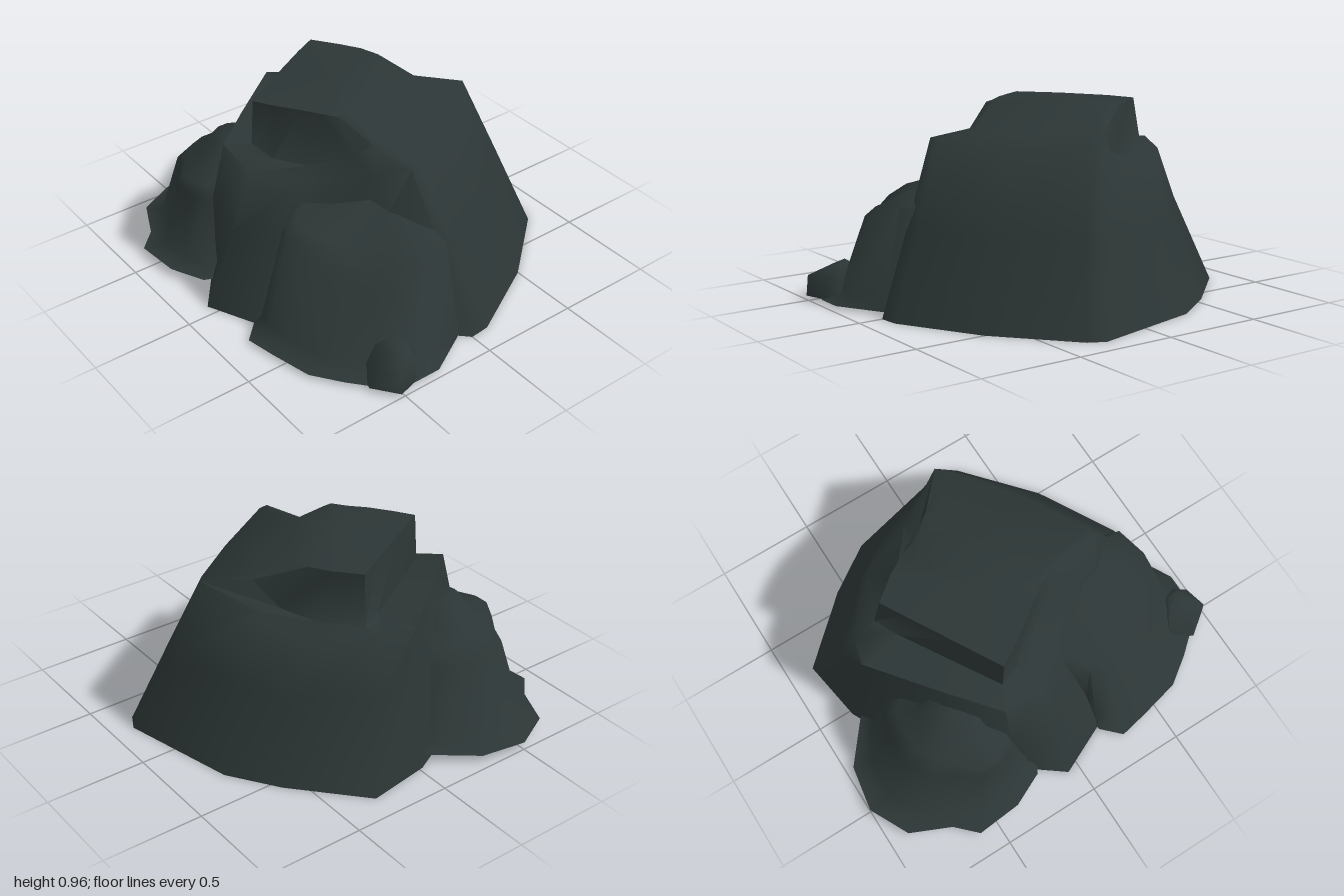
import * as THREE from 'three';
import { toCreasedNormals } from 'three/addons/utils/BufferGeometryUtils.js';

// Open-bottomed shells, so both sides show
const stone = new THREE.MeshStandardMaterial({ color: 0x2c3535, side: THREE.DoubleSide });
stone.name = 'dark stone';

// Skin a stack of rings (front, +x, back, -x order) and fan the last one to a peak.
// An open rock leans against another and has no wall between its last and first column.
function rock(name, rings, peak, open = false) {
  const n = rings[0].length;
  const points = [...rings.flat(), peak];
  const top = points.length - 1;
  const last = (rings.length - 1) * n;
  const index = [];
  for (let i = 0; i < (open ? n - 1 : n); i++) {
    const j = (i + 1) % n;
    for (let a = 0; a < last; a += n) {
      const b = a + n;
      index.push(a + i, a + j, b + j, a + i, b + j, b + i);
    }
    index.push(last + i, last + j, top);
  }
  const geometry = new THREE.BufferGeometry();
  geometry.setAttribute('position', new THREE.Float32BufferAttribute(points.flat(), 3));
  geometry.setIndex(index);
  const mesh = new THREE.Mesh(toCreasedNormals(geometry, 1.3), stone);
  mesh.name = name;
  return mesh;
}

// Place a flat outline of [x, z] pairs at one height.
const level = (y, outline) => outline.map(([x, z]) => [x, y, z]);

export function createModel() {
  const model = new THREE.Group();
  model.name = 'rockOutcrop';

  // Large boulder: foot, waist, shoulder, then the base and rim of the raised cap
  const foot = level(0, [
    [0, 0.88], [0.1, 0.87], [0.5, 0.65], [0.85, 0.35], [0.89, 0.27], [0.75, -0.31], [0.59, -0.55],
    [0.3, -0.87], [-0.02, -0.82], [-0.45, -0.6], [-0.7, -0.27], [-0.86, -0.06], [-0.74, 0.2], [-0.38, 0.5],
  ]);
  const waist = [
    [-0.05, 0.4, 0.71], [0.02, 0.4, 0.7], [0.39, 0.4, 0.5], [0.7, 0.4, 0.24], [0.74, 0.4, 0.18],
    [0.59, 0.4, -0.23], [0.44, 0.38, -0.47], [0.16, 0.42, -0.74], [-0.04, 0.43, -0.74], [-0.42, 0.42, -0.53],
    [-0.66, 0.43, -0.28], [-0.7, 0.38, -0.06], [-0.54, 0.4, 0.15], [-0.29, 0.4, 0.46],
  ];
  const shoulder = [
    [-0.11, 0.8, 0.54], [-0.06, 0.8, 0.53], [0.27, 0.77, 0.35], [0.55, 0.79, 0.13], [0.59, 0.8, 0.08],
    [0.45, 0.71, -0.18], [0.36, 0.64, -0.45], [0.11, 0.67, -0.67], [-0.04, 0.71, -0.71], [-0.36, 0.71, -0.46],
    [-0.59, 0.71, -0.27], [-0.57, 0.64, -0.08], [-0.41, 0.62, 0.09], [-0.21, 0.71, 0.37],
  ];
  const capBase = [
    [-0.14, 0.82, 0.3], [-0.1, 0.82, 0.29], [0.2, 0.81, 0.18], [0.38, 0.82, -0.05], [0.41, 0.82, -0.08],
    [0.34, 0.7, -0.2], [0.25, 0.67, -0.36], [0.12, 0.69, -0.55], [0, 0.69, -0.49], [-0.25, 0.69, -0.34],
    [-0.47, 0.7, -0.21], [-0.42, 0.65, -0.1], [-0.33, 0.65, 0.04], [-0.2, 0.74, 0.22],
  ];
  const capRim = [
    [-0.22, 0.93, 0.15], [-0.17, 0.935, 0.14], [0.08, 0.965, 0.05], [0.25, 0.935, -0.18], [0.28, 0.93, -0.2],
    [0.25, 0.93, -0.3], [0.19, 0.93, -0.4], [0.1, 0.935, -0.515], [-0.02, 0.94, -0.45], [-0.25, 0.94, -0.32],
    [-0.46, 0.935, -0.2], [-0.4, 0.935, -0.1], [-0.33, 0.935, 0], [-0.27, 0.93, 0.08],
  ];
  model.add(rock('mainBoulder', [foot, waist, shoulder, capBase, capRim], [-0.05, 0.955, -0.12]));

  // Low rock leaning on the front left, with a thin skirt
  model.add(rock('frontRock', [
    level(0.015, [
      [-0.64, 0.18], [-0.76, 0.19], [-0.85, 0.28], [-0.82, 0.43], [-0.77, 0.64], [-0.67, 0.78],
      [-0.55, 0.92], [-0.42, 0.97], [-0.28, 0.97], [-0.05, 0.84], [-0.01, 0.78],
    ]),
    level(0.05, [
      [-0.64, 0.18], [-0.72, 0.2], [-0.74, 0.29], [-0.72, 0.42], [-0.68, 0.58], [-0.62, 0.7],
      [-0.5, 0.82], [-0.4, 0.88], [-0.27, 0.89], [-0.05, 0.83], [-0.01, 0.76],
    ]),
    [
      [-0.48, 0.53, 0.13], [-0.59, 0.5, 0.21], [-0.62, 0.5, 0.28], [-0.61, 0.49, 0.38], [-0.58, 0.45, 0.5], [-0.53, 0.39, 0.61],
      [-0.46, 0.35, 0.71], [-0.36, 0.41, 0.76], [-0.22, 0.48, 0.78], [-0.06, 0.49, 0.74], [-0.04, 0.49, 0.66],
    ],
    [
      [-0.42, 0.55, 0.14], [-0.52, 0.52, 0.21], [-0.54, 0.52, 0.27], [-0.52, 0.51, 0.36], [-0.48, 0.5, 0.43], [-0.44, 0.49, 0.49],
      [-0.38, 0.49, 0.56], [-0.3, 0.51, 0.6], [-0.2, 0.53, 0.63], [-0.1, 0.53, 0.63], [-0.07, 0.54, 0.6],
    ],
  ], [-0.18, 0.63, 0.42], true));

  // Low rock leaning on the back: thin raised skirt, steep sides, small block on top
  model.add(rock('backRock', [
    level(0.04, [
      [0, -0.74], [-0.07, -0.8], [-0.27, -0.96], [-0.5, -1], [-0.7, -0.9],
      [-0.79, -0.7], [-0.89, -0.6], [-0.87, -0.37], [-0.79, -0.2], [-0.7, -0.16],
    ]),
    level(0.07, [
      [-0.1, -0.72], [-0.16, -0.79], [-0.3, -0.87], [-0.5, -0.89], [-0.66, -0.8],
      [-0.71, -0.66], [-0.79, -0.54], [-0.78, -0.37], [-0.74, -0.24], [-0.68, -0.18],
    ]),
    level(0.42, [
      [-0.16, -0.65], [-0.22, -0.72], [-0.33, -0.75], [-0.47, -0.76], [-0.6, -0.7],
      [-0.65, -0.6], [-0.73, -0.49], [-0.73, -0.38], [-0.69, -0.29], [-0.6, -0.24],
    ]),
    level(0.49, [
      [-0.2, -0.6], [-0.25, -0.67], [-0.35, -0.69], [-0.46, -0.69], [-0.56, -0.64],
      [-0.62, -0.57], [-0.71, -0.47], [-0.71, -0.39], [-0.67, -0.31], [-0.58, -0.26],
    ]),
    level(0.53, [
      [-0.28, -0.53], [-0.32, -0.59], [-0.37, -0.62], [-0.44, -0.62], [-0.5, -0.59],
      [-0.54, -0.54], [-0.57, -0.48], [-0.58, -0.42], [-0.56, -0.36], [-0.52, -0.31],
    ]),
    level(0.6, [
      [-0.31, -0.5], [-0.34, -0.55], [-0.38, -0.57], [-0.43, -0.57], [-0.47, -0.55],
      [-0.5, -0.51], [-0.53, -0.46], [-0.54, -0.42], [-0.53, -0.38], [-0.5, -0.34],
    ]),
  ], [-0.43, 0.61, -0.45], true));

  // Small loose stone beside the front rock
  model.add(rock('pebble', [
    level(0.02, [[-0.52, 1], [-0.42, 0.97], [-0.37, 0.9], [-0.42, 0.79], [-0.56, 0.77], [-0.61, 0.88]]),
    [[-0.52, 0.12, 0.99], [-0.41, 0.13, 0.96], [-0.37, 0.13, 0.9], [-0.41, 0.18, 0.81], [-0.5, 0.15, 0.78], [-0.56, 0.09, 0.88]],
    [[-0.5, 0.14, 0.95], [-0.43, 0.15, 0.93], [-0.4, 0.18, 0.89], [-0.41, 0.19, 0.83], [-0.46, 0.19, 0.82], [-0.5, 0.15, 0.88]],
  ], [-0.45, 0.18, 0.88]));

  return model;
}
